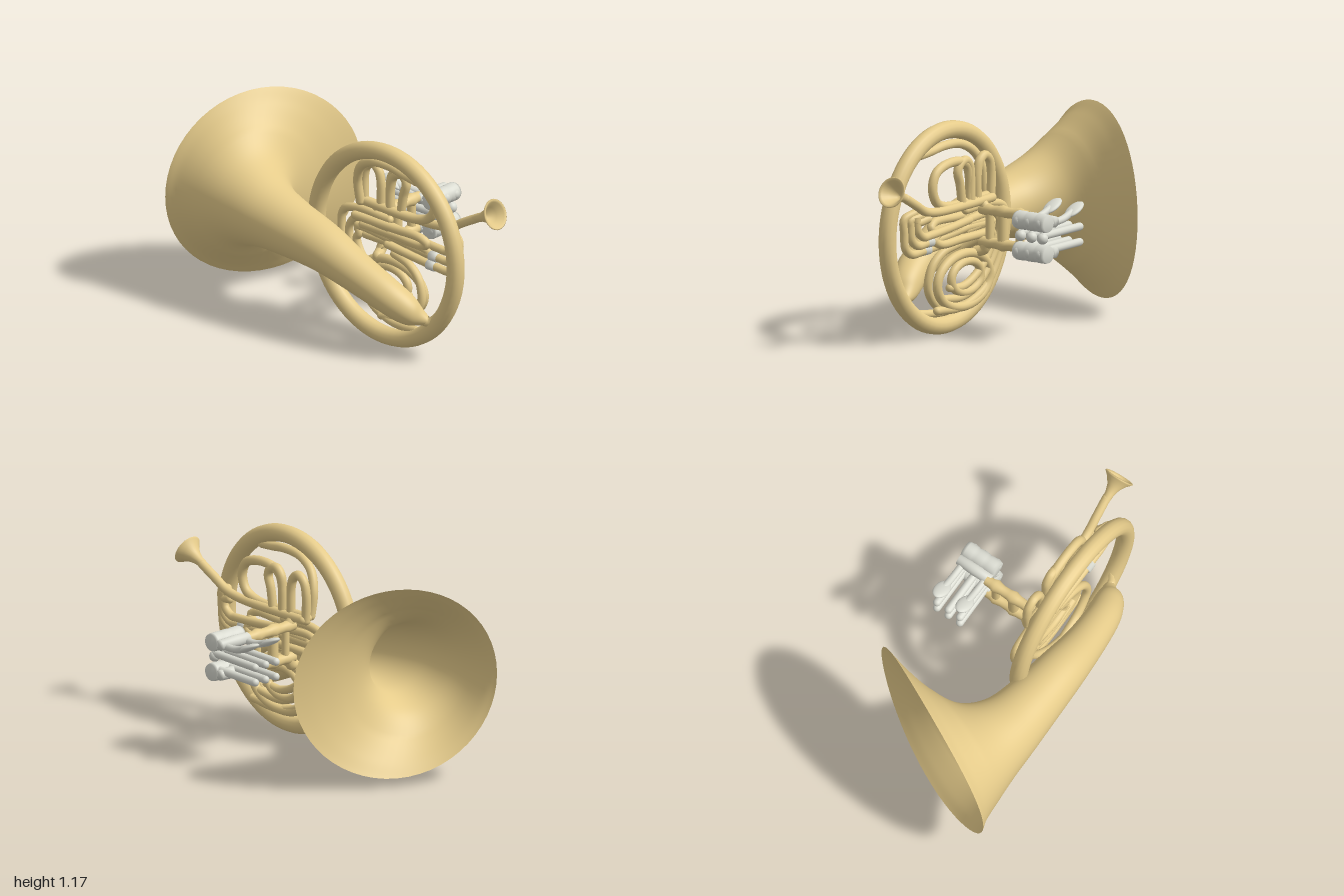
import * as THREE from 'three';

const V = (x, y, z) => new THREE.Vector3(x, y, z);

export function createModel() {
  const model = new THREE.Group();
  const brass = new THREE.MeshStandardMaterial({ color: 0xe5cb8a });
  brass.name = 'brass';
  const brassSheet = new THREE.MeshStandardMaterial({ color: 0xe5cb8a, side: THREE.DoubleSide });
  brassSheet.name = 'brass sheet';
  const silver = new THREE.MeshStandardMaterial({ color: 0xdadbd1 });
  silver.name = 'silver';

  function add(name, geo, mat = brass, pos, parent = model) {
    const m = new THREE.Mesh(geo, mat);
    m.name = name;
    if (pos) m.position.copy(pos);
    parent.add(m);
    return m;
  }
  // Round pipe through points, with rounded ends
  function pipe(name, pts, r, closed = false, mat = brass) {
    const g = new THREE.Group();
    g.name = name;
    model.add(g);
    const p = pts.map(a => V(...a));
    const curve = new THREE.CatmullRomCurve3(p, closed, 'centripetal');
    add(name + 'Tube', new THREE.TubeGeometry(curve, 72, r, 14, closed), mat, null, g);
    if (!closed) for (const e of [p[0], p[p.length - 1]])
      add(name + 'End', new THREE.SphereGeometry(r, 14, 10), mat, e, g);
  }
  // Turned part along a direction; profile is [radius, distance]
  function turned(name, profile, start, dir, mat = brass) {
    const m = add(name, new THREE.LatheGeometry(profile.map(a => new THREE.Vector2(...a)), 28), mat, start);
    m.quaternion.setFromUnitVectors(V(0, 1, 0), dir.clone().normalize());
    return m;
  }

  // Bell: circular sections [x, y, z, radius, heading, pitch] from rim to narrow end
  const sections = [
    [-0.748, 0.587, -0.003, 0.57, 0.46, 0],
    [-0.73, 0.587, 0.055, 0.478, 0.43, 0],
    [-0.68, 0.587, 0.14, 0.365, 0.35, 0],
    [-0.59, 0.59, 0.228, 0.258, 0.23, -0.02],
    [-0.435, 0.58, 0.287, 0.192, 0.08, -0.06],
    [-0.25, 0.558, 0.312, 0.16, 0.03, -0.14],
    [0, 0.518, 0.326, 0.134, 0, -0.25],
    [0.2, 0.452, 0.326, 0.112, -0.06, -0.36],
    [0.4, 0.37, 0.306, 0.098, -0.2, -0.42],
    [0.5, 0.316, 0.278, 0.089, -0.45, -0.45],
    [0.555, 0.28, 0.25, 0.076, -0.65, -0.4],
    [0.59, 0.255, 0.222, 0.052, -0.7, -0.3],
    [0.64, 0.238, 0.2, 0.024, -0.5, 0.1],
  ];
  const centre = new THREE.CatmullRomCurve3(sections.map(s => V(s[0], s[1], s[2])), false, 'catmullrom');
  const shape = new THREE.CatmullRomCurve3(sections.map(s => V(s[3], s[4], s[5])), false, 'catmullrom');
  const N = 84, S = 56, pos = [], idx = [];
  for (let i = 0; i <= N; i++) {
    const c = centre.getPoint(i / N), q = shape.getPoint(i / N);
    const [r, h, p] = [q.x, q.y, q.z];
    const n = V(Math.cos(p) * Math.cos(h), Math.sin(p), Math.cos(p) * Math.sin(h));
    const u = V(-Math.sin(h), 0, Math.cos(h));
    const v = u.clone().cross(n);
    // The mouth is less tall than wide, and its top and bottom bow forward
    const fade = Math.max(0, 1 - i / 14);
    for (let j = 0; j < S; j++) {
      const a = j / S * Math.PI * 2, s = Math.sin(a);
      const w = c.clone().addScaledVector(u, r * Math.cos(a))
        .addScaledVector(v, r * (1 - 0.058 * fade) * s)
        .addScaledVector(n, -0.036 * fade * s * s);
      pos.push(w.x, w.y, w.z);
      if (i < N) {
        const k = (j + 1) % S, A = i * S + j, B = i * S + k;
        idx.push(A, B, A + S, B, B + S, A + S);
      }
    }
  }
  const bell = new THREE.BufferGeometry();
  bell.setAttribute('position', new THREE.Float32BufferAttribute(pos, 3));
  bell.setIndex(idx);
  bell.computeVertexNormals();
  add('bell', bell, brassSheet);

  // Main oval hoop
  const oval = (cx, cy, z, rx, ry) => Array.from({ length: 24 }, (_, i) => {
    const a = i / 24 * Math.PI * 2;
    return [cx + rx * Math.cos(a), cy + ry * Math.sin(a), z];
  });
  pipe('mainHoop', oval(0.311, 0.584, 0.178, 0.506, 0.535), 0.049, true);

  // Lead pipe and mouthpiece
  pipe('leadPipe', [[0.06, 0.725, 0.05], [0.3, 0.72, 0.05], [0.56, 0.725, 0.045], [0.66, 0.745, 0.04],
    [0.75, 0.795, 0.035], [0.85, 0.85, 0.03]], 0.025);
  turned('mouthpiece', [[0.022, 0], [0.026, 0.06], [0.038, 0.1], [0.06, 0.135], [0.08, 0.155], [0.086, 0.163],
    [0.08, 0.167], [0.068, 0.16], [0.045, 0.125], [0.018, 0.085], [0, 0.08]], V(0.822, 0.838, 0.033), V(0.92, 0.4, -0.02));

  // Upper slides
  pipe('upperArc', [[0.05, 0.74, 0.1], [0.05, 0.88, 0.12], [0.1, 0.975, 0.145], [0.2, 1.03, 0.16],
    [0.33, 1.04, 0.165], [0.44, 1.025, 0.172], [0.53, 1.015, 0.178]], 0.025);
  pipe('narrowSlide', [[0.05, 0.72, 0.065], [0.05, 0.88, 0.065], [0.07, 0.94, 0.065], [0.11, 0.965, 0.065],
    [0.15, 0.94, 0.065], [0.17, 0.88, 0.065], [0.17, 0.72, 0.065]], 0.025);
  pipe('wideSlide', [[0.24, 0.72, 0.065], [0.24, 0.86, 0.065], [0.265, 0.935, 0.065], [0.33, 0.965, 0.065],
    [0.45, 0.965, 0.065], [0.535, 0.93, 0.065], [0.565, 0.855, 0.065], [0.535, 0.775, 0.065],
    [0.45, 0.735, 0.07], [0.05, 0.735, 0.075]], 0.026);
  pipe('innerSlide', [[0.31, 0.72, 0.06], [0.33, 0.84, 0.06], [0.35, 0.91, 0.06], [0.33, 0.95, 0.06],
    [0.28, 0.965, 0.06], [0.245, 0.93, 0.06], [0.235, 0.86, 0.06], [0.235, 0.72, 0.06]], 0.025);

  // Stacked middle slides, leaning forward towards the top
  const lean = y => 0.06 + (y - 0.52) * 0.36;
  for (const y of [0.65, 0.585]) {
    const bend = [[0.02, 0], [0.3, 0], [0.5, 0], [0.535, 0.025], [0.5, 0.05], [0.3, 0.05], [0.06, 0.05]];
    pipe('middleSlide', bend.map(([x, d]) => [x, y - d, lean(y - d)]), 0.024);
  }
  // Right-hand bends nested beside the hoop
  for (let i = 0; i < 3; i++) {
    const x = 0.77 - i * 0.03, y = 0.51 + i * 0.045, z = 0.1 - i * 0.02;
    pipe('rightBend', [[0.25, y + 0.03, z], [0.45, y + 0.01, z], [0.6, y, z], [x - 0.06, y, z], [x - 0.01, y + 0.04, z],
      [x, y + 0.12, z], [x, 0.71 - i * 0.01, z], [x - 0.07, 0.74 - i * 0.02, z - 0.02]], 0.023);
  }
  for (const [y, z] of [[0.512, 0.104], [0.557, 0.084]])
    turned('ferrule', [[0, 0], [0.028, 0], [0.028, 0.05], [0, 0.05]], V(0.55, y, z), V(1, 0, 0), silver);

  // Left-hand sweeps running down round the hoop
  for (let i = 0; i < 3; i++) {
    const d = i * 0.055, z = 0.084;
    pipe('leftSweep', [[0.25, 0.68 - d, z], [0.02, 0.685 - d, z], [-0.08 + d, 0.65 - d, z], [-0.1 + d, 0.56 - d * 0.5, z],
      [-0.05 + d, 0.4, z], [0.08 + d * 0.8, 0.23 + d * 0.7, z], [0.28, 0.155 + d, z], [0.5 - d, 0.165 + d, z]], 0.023);
  }
  // Lower coil
  pipe('lowerLoop', oval(0.27, 0.3, 0.082, 0.23, 0.145), 0.026, true);
  pipe('innerLoop', oval(0.25, 0.315, 0.08, 0.13, 0.085), 0.024, true);
  pipe('lowerRise', [[0.25, 0.14, 0.15], [0.42, 0.17, 0.14], [0.52, 0.28, 0.13], [0.5, 0.4, 0.12], [0.42, 0.47, 0.11],
    [0.3, 0.5, 0.1]], 0.024);
  pipe('lowerArc', [[0, 0.42, 0.09], [0.06, 0.28, 0.11], [0.17, 0.18, 0.135], [0.32, 0.13, 0.155],
    [0.44, 0.13, 0.17], [0.53, 0.14, 0.178]], 0.023);
  // Link from bell tail to hoop
  pipe('tailLink', [[0.6, 0.235, 0.22], [0.65, 0.23, 0.2], [0.69, 0.27, 0.18]], 0.025);

  // Ladder bracket carrying the valves
  for (const y of [0.495, 0.675]) {
    turned('bracketRail', [[0.028, 0], [0.033, 0.05], [0.028, 0.08], [0.03, 0.12], [0.038, 0.15], [0.03, 0.18],
      [0.028, 0.225], [0.038, 0.265], [0.03, 0.29], [0.028, 0.33]], V(0.145, y, 0.06), V(0, 0, -1));
  }
  for (const [z, r] of [[0, 0.022], [-0.09, 0.03], [-0.207, 0.024]])
    add('bracketRung', new THREE.CylinderGeometry(r, r, 0.18, 16), brass, V(0.145, 0.585, z));
  pipe('bracketFoot', [[0.145, 0.68, 0.02], [0.145, 0.71, 0.05], [0.145, 0.72, 0.07]], 0.026);
  pipe('bracketFoot', [[0.145, 0.495, 0.02], [0.145, 0.455, 0.04], [0.16, 0.44, 0.08]], 0.03);

  // Valve barrels, with a thinner bar behind each
  for (const y of [0.5, 0.67]) {
    turned('valveBarrel', [[0, 0], [0.046, 0], [0.051, 0.015], [0.051, 0.06], [0.047, 0.072], [0.051, 0.085], [0.051, 0.13],
      [0.047, 0.142], [0.051, 0.155], [0.051, 0.2], [0.046, 0.216], [0, 0.216]], V(0.228, y, -0.25), V(0, 0, -1), silver);
    turned('valveBar', [[0, 0], [0.03, 0], [0.034, 0.1], [0.03, 0.21], [0, 0.21]], V(0.16, y, -0.25), V(0, 0, -1), silver);
  }
  // Valve caps, rods and finger keys
  for (const [i, z] of [-0.28, -0.355, -0.43].entries()) {
    add('valveCap', new THREE.SphereGeometry(0.031, 18, 12), silver, V(0.235, 0.585, z));
    for (const y of [0.5, 0.67])
      add('barrelCap', new THREE.SphereGeometry(0.034, 18, 12), silver, V(0.249, y, z));
    for (const y of [0.515, 0.6])
      pipe('valveRod', [[0.23, y, z], [0.1, y, z], [-0.09, y, z]], 0.022, false, silver);
    if (i === 1) continue;
    // Tilted flat paddle on a lever
    const key = add('fingerKey', new THREE.SphereGeometry(0.045, 20, 12), silver, V(-0.045, 0.702, z));
    key.scale.set(1.6, 0.4, 0.95);
    key.rotation.z = -0.45;
    pipe('keyLever', [[-0.02, 0.69, z], [0.06, 0.665, z], [0.16, 0.66, z]], 0.02, false, silver);
  }
  return model;
}
